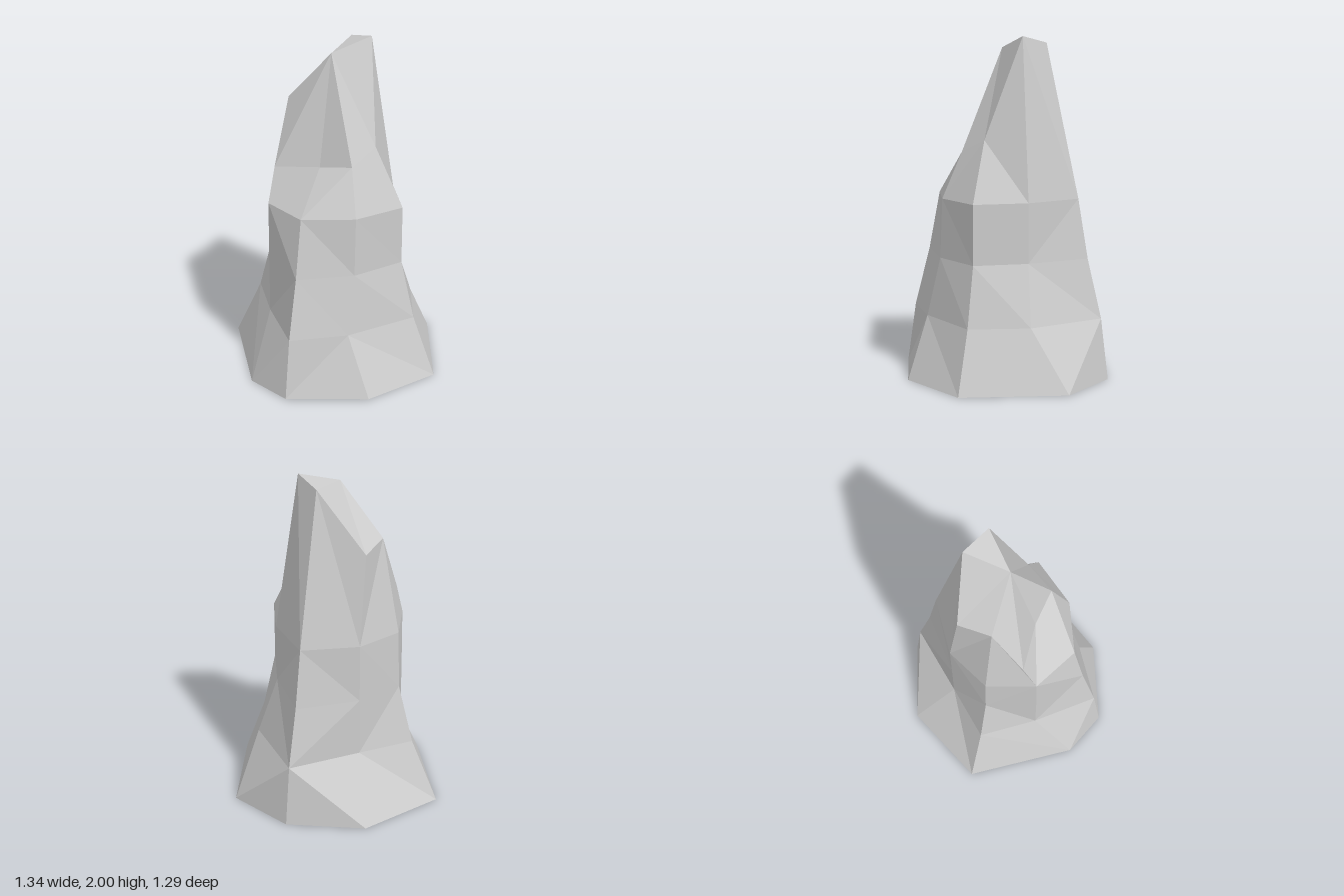
import * as THREE from 'three';

// Low-poly standing rock: eight-sided cross-sections stacked upwards.
// Each ring lists [x, z] corners from +x round through +z, -x and -z.
const rings = [
  { y: 0, pts: [[0.67, 0.02], [0.43, 0.44], [-0.01, 0.645], [-0.285, 0.55], [-0.67, 0.02], [-0.44, -0.46], [-0.01, -0.645], [0.4, -0.545]] },
  { y: 0.36, pts: [[0.53, 0.02], [0.27, 0.385], [-0.01, 0.59], [-0.285, 0.3], [-0.5, 0.02], [-0.285, -0.25], [-0.01, -0.6], [0.375, -0.305]] },
  { y: 0.71, pts: [[0.445, 0.02], [0.27, 0.3], [-0.01, 0.495], [-0.285, 0.3], [-0.405, 0.02], [-0.285, -0.25], [-0.01, -0.515], [0.27, -0.25]] },
  { y: 1.06, pts: [[0.445, 0.02], [0.27, 0.285], [-0.01, 0.425], [-0.285, 0.295], [-0.395, 0.02], [-0.285, -0.25], [-0.01, -0.455], [0.27, -0.25]] },
].map(({ y, pts }) => pts.map(([x, z]) => [x, y, z]));

// Broken, slanted rim below the summit
rings.push([
  [0.27, 1.41, 0.02], [0.2, 1.33, 0.19], [-0.01, 1.29, 0.175], [-0.285, 1.26, 0.21],
  [-0.285, 1.63, 0.02], [-0.285, 1.6, -0.185], [-0.01, 1.96, -0.255], [0.155, 2, -0.17],
]);
const summit = [-0.01, 1.93, 0.02];
const baseCentre = [0, 0, 0.02];

// Diagonal of each facet: u rises to the next corner, d falls to it
const diagonals = ['udduuudu', 'uududduu', 'uuuduudu', 'ddduduuu'.replace(/ /g, '')];

function rockGeometry() {
  const positions = [];
  const tri = (a, b, c) => positions.push(...a, ...b, ...c);
  const n = 8;
  for (let i = 0; i < n; i++) {
    const j = (i + 1) % n;
    // Sides
    diagonals.forEach((row, k) => {
      const [a, b] = [rings[k][i], rings[k][j]];
      const [c, d] = [rings[k + 1][i], rings[k + 1][j]];
      if (row[i] === 'u') {
        tri(a, d, b);
        tri(a, c, d);
      } else {
        tri(a, c, b);
        tri(b, c, d);
      }
    });
    // Summit facets and flat underside
    tri(rings[4][i], summit, rings[4][j]);
    tri(rings[0][i], rings[0][j], baseCentre);
  }
  const geometry = new THREE.BufferGeometry();
  geometry.setAttribute('position', new THREE.Float32BufferAttribute(positions, 3));
  geometry.computeVertexNormals();
  return geometry;
}

export function createModel() {
  const group = new THREE.Group();
  group.name = 'standingRock';
  const material = new THREE.MeshStandardMaterial({ color: 0xcccccc, flatShading: true });
  const rock = new THREE.Mesh(rockGeometry(), material);
  rock.name = 'rock';
  group.add(rock);
  return group;
}
